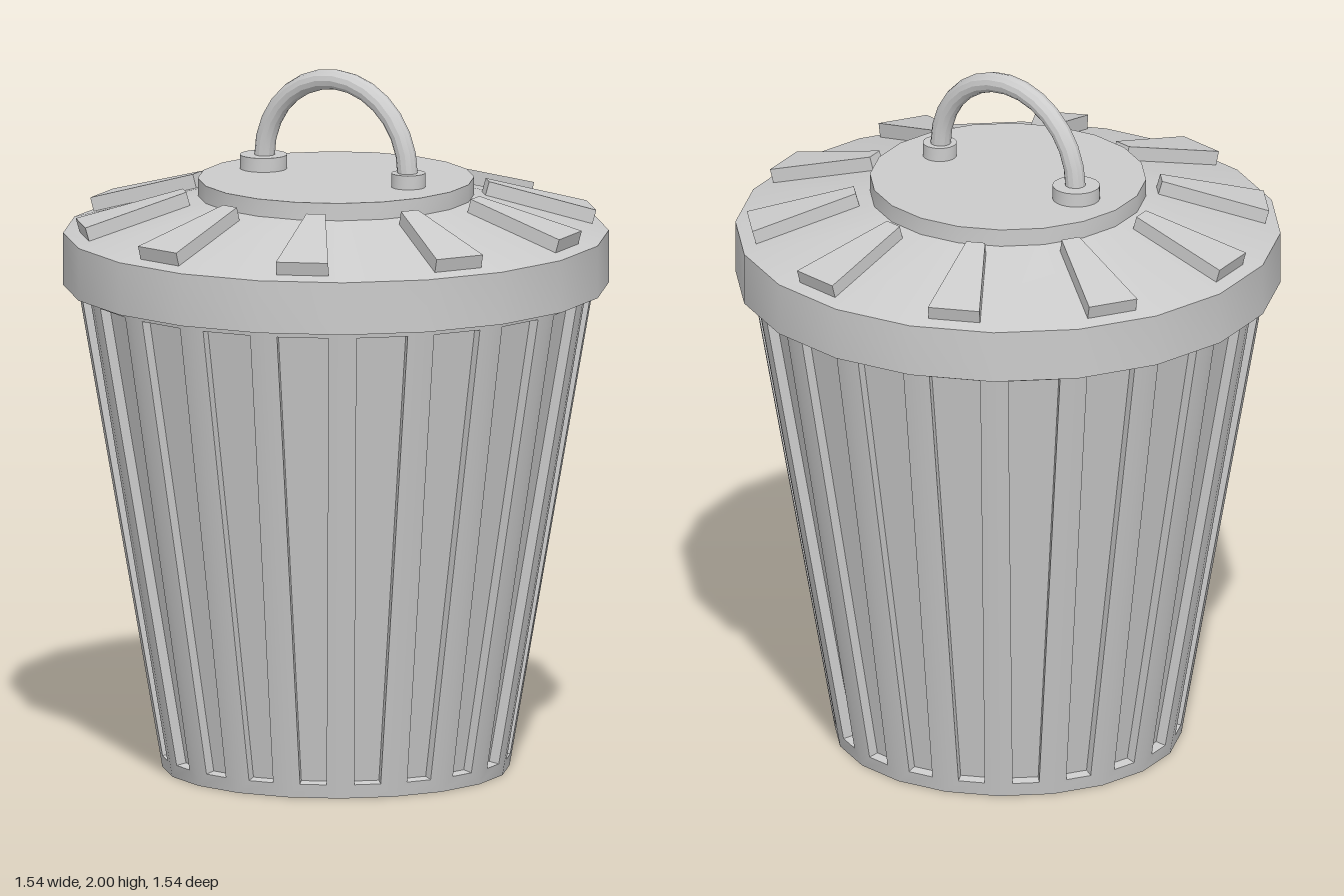
import * as THREE from 'three';
import { toCreasedNormals } from 'three/addons/utils/BufferGeometryUtils.js';

const SIDES = 20;
const STEP = (Math.PI * 2) / SIDES;
const CREASE = 0.45;

const material = new THREE.MeshStandardMaterial({ color: 0xcccccc, side: THREE.DoubleSide });

function addMesh(parent, name, geometry) {
  const mesh = new THREE.Mesh(toCreasedNormals(geometry, CREASE), material);
  mesh.name = name;
  parent.add(mesh);
  return mesh;
}

// Ring of sloped facets from (r0, y0) to (r1, y1). Facets chosen by hasPanel get
// an inset panel pushed along the facet normal by offset (negative sinks it).
function panelledRing(r0, y0, r1, y1, inset, offset, hasPanel) {
  const half = STEP / 2;
  const z0 = r0 * Math.cos(half), z1 = r1 * Math.cos(half);
  const length = Math.hypot(y1 - y0, z1 - z0);
  const normal = new THREE.Vector3(0, -(z1 - z0) / length, (y1 - y0) / length);
  const t = inset / length;

  const corners = (ta, tb, margin) => [[ta, -1], [ta, 1], [tb, 1], [tb, -1]].map(([k, side]) =>
    new THREE.Vector3(
      side * (THREE.MathUtils.lerp(r0, r1, k) * Math.sin(half) - margin),
      THREE.MathUtils.lerp(y0, y1, k),
      THREE.MathUtils.lerp(z0, z1, k)));
  const outer = corners(0, 1, 0);
  const inner = corners(t, 1 - t, inset);
  const face = inner.map((p) => p.clone().addScaledVector(normal, offset));

  const positions = [];
  const up = new THREE.Vector3(0, 1, 0);
  for (let k = 0; k < SIDES; k++) {
    const quad = (a, b, c, d) => {
      for (const p of [a, b, c, a, c, d]) {
        const q = p.clone().applyAxisAngle(up, (k + 0.5) * STEP);
        positions.push(q.x, q.y, q.z);
      }
    };
    if (!hasPanel(k)) {
      quad(...outer);
      continue;
    }
    for (let i = 0; i < 4; i++) {
      const j = (i + 1) % 4;
      quad(outer[i], outer[j], inner[j], inner[i]);
      quad(inner[i], inner[j], face[j], face[i]);
    }
    quad(...face);
  }
  const geometry = new THREE.BufferGeometry();
  geometry.setAttribute('position', new THREE.Float32BufferAttribute(positions, 3));
  return geometry;
}

export function createModel() {
  const model = new THREE.Group();
  model.name = 'dustbin';

  // Tapered body, open underneath, with a sunken panel in every side
  addMesh(model, 'body', panelledRing(0.49, 0, 0.732, 1.405, 0.04, -0.03, () => true));

  const lid = new THREE.Group();
  lid.name = 'lid';
  model.add(lid);

  // Upright rim with a narrow underside
  const rim = [[0.725, 1.385], [0.77, 1.385], [0.77, 1.535]].map(([r, y]) => new THREE.Vector2(r, y));
  addMesh(lid, 'lidRim', new THREE.LatheGeometry(rim, SIDES));

  // Sloped top with a raised slat on every second side
  addMesh(lid, 'lidSlope', panelledRing(0.77, 1.535, 0.39, 1.64, 0.04, 0.04, (k) => k % 2 === 1));

  // Flat raised disc in the middle
  addMesh(lid, 'lidDisc', new THREE.CylinderGeometry(0.39, 0.39, 0.05, SIDES)).position.y = 1.665;

  // Arched handle standing in two round sockets
  const handle = new THREE.Group();
  handle.name = 'handle';
  lid.add(handle);
  const arch = new THREE.TorusGeometry(0.245, 0.029, 12, 14, Math.PI);
  addMesh(handle, 'handleArch', arch).position.y = 1.726;
  for (const [x, radius] of [[-0.248, 0.067], [0.248, 0.048]]) {
    addMesh(handle, 'handleSocket', new THREE.CylinderGeometry(radius, radius, 0.04, 24)).position.set(x, 1.71, 0);
  }

  return model;
}
